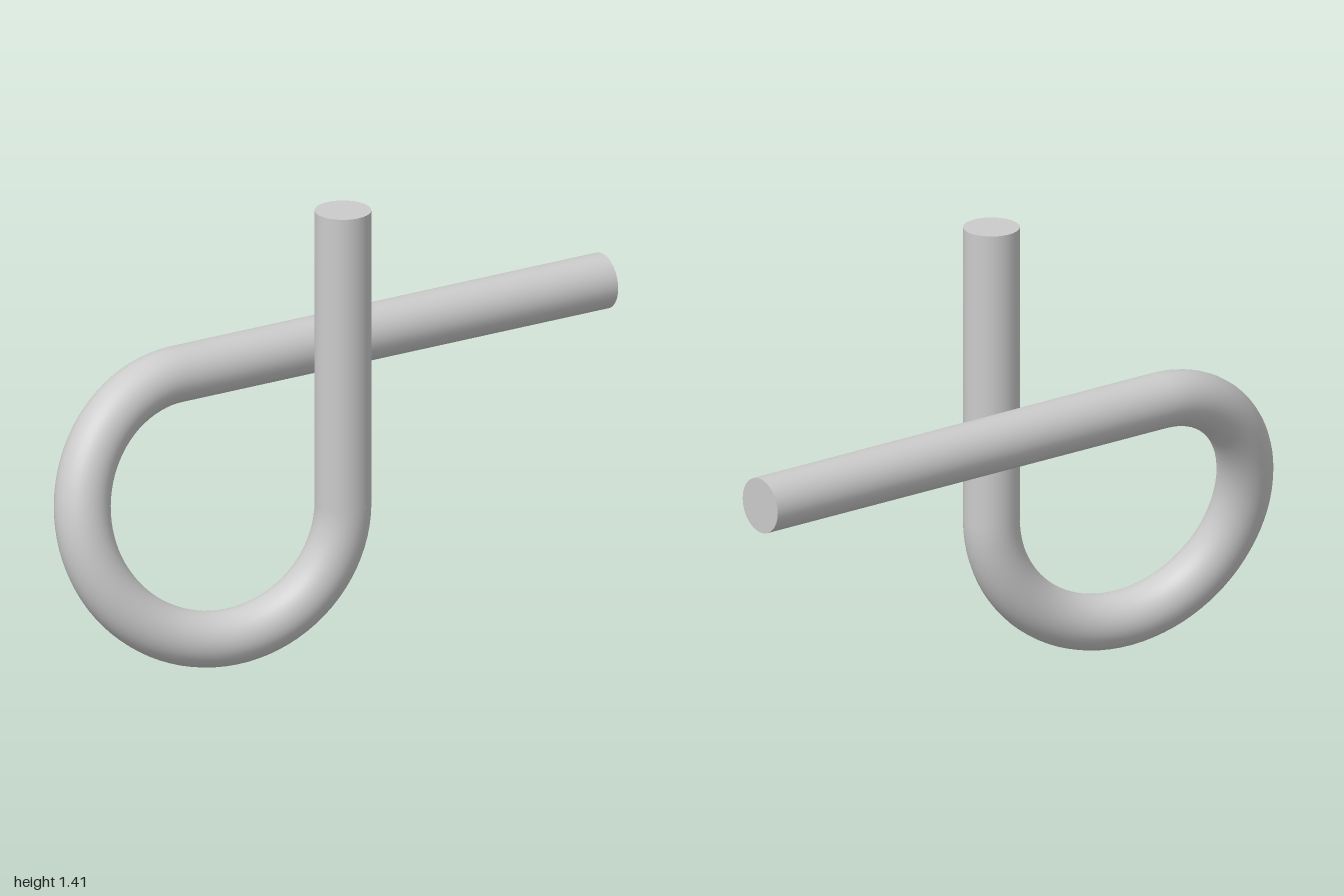
import * as THREE from 'three';

const TUBE = 0.086; // rod radius
const BEND = 0.387; // loop radius
const CX = -0.529, CY = 0.473; // loop centre
const DEPTH = 0.163; // half the front-to-back offset
const TOP = 1.41;

// Three-quarter loop that eases from the back plane to the front plane
class LoopCurve extends THREE.Curve {
  getPoint(t, target = new THREE.Vector3()) {
    const a = Math.PI / 2 + t * Math.PI * 1.5;
    return target.set(
      CX + BEND * Math.cos(a),
      CY + BEND * Math.sin(a),
      -DEPTH * Math.cos(t * Math.PI)
    );
  }
}

export function createModel() {
  const group = new THREE.Group();
  const material = new THREE.MeshStandardMaterial({ color: 0xcccccc });
  const add = (name, geometry, x = 0, y = 0, z = 0) => {
    const mesh = new THREE.Mesh(geometry, material);
    mesh.name = name;
    mesh.position.set(x, y, z);
    group.add(mesh);
  };

  // Bent part of the rod
  add('loop', new THREE.TubeGeometry(new LoopCurve(), 64, TUBE, 32));

  // Straight arms, open where they join the loop
  const acrossLength = 1 - CX;
  const across = new THREE.CylinderGeometry(TUBE, TUBE, acrossLength, 32, 1, true).rotateZ(-Math.PI / 2);
  add('horizontalArm', across, CX + acrossLength / 2, CY + BEND, -DEPTH);

  const upLength = TOP - CY;
  const up = new THREE.CylinderGeometry(TUBE, TUBE, upLength, 32, 1, true);
  add('uprightArm', up, CX + BEND, CY + upLength / 2, DEPTH);

  // Flat end caps
  add('horizontalArmEnd', new THREE.CircleGeometry(TUBE, 32).rotateY(Math.PI / 2), 1, CY + BEND, -DEPTH);
  add('uprightArmEnd', new THREE.CircleGeometry(TUBE, 32).rotateX(-Math.PI / 2), CX + BEND, TOP, DEPTH);

  return group;
}
